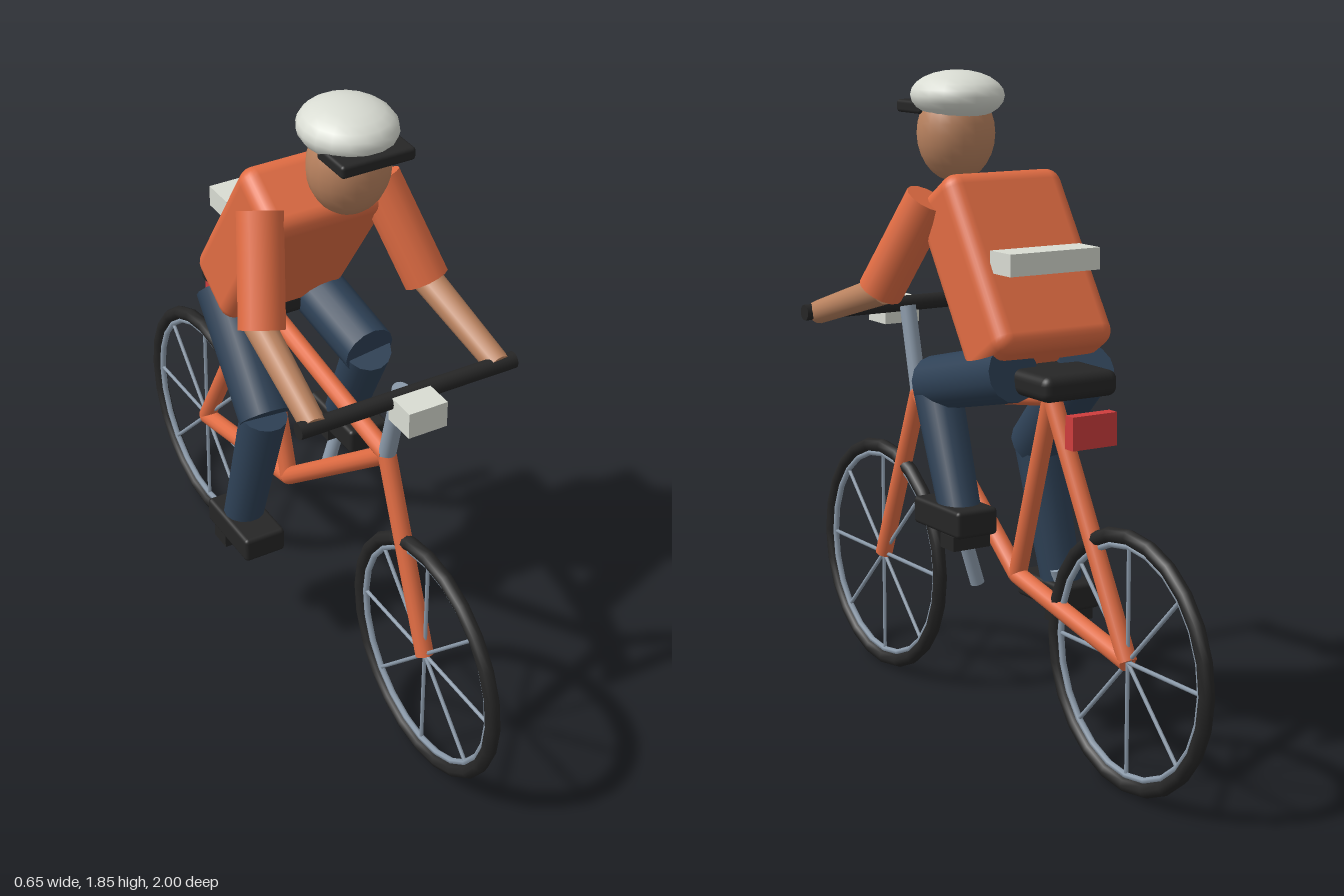
import * as THREE from 'three';
import { RoundedBoxGeometry } from 'three/addons/geometries/RoundedBoxGeometry.js';

const mat = (name, color) => {
  const m = new THREE.MeshStandardMaterial({ color });
  m.name = name;
  return m;
};

export function createModel() {
  const orange = mat('orange', 0xe06c43);
  const skin = mat('skin', 0xb9825f);
  const denim = mat('denim', 0x2e4156);
  const black = mat('black', 0x262626);
  const pale = mat('pale grey', 0xd9dcd3);
  const steel = mat('steel', 0x8c9bab);
  const red = mat('red', 0xcf3d3d);

  const model = new THREE.Group();
  model.name = 'cyclist';

  const add = (name, geometry, material, pos = [0, 0, 0], parent = model) => {
    const mesh = new THREE.Mesh(geometry, material);
    mesh.name = name;
    mesh.position.set(...pos);
    parent.add(mesh);
    return mesh;
  };

  // Round bar between two points, radius r0 at a and r1 at b
  const bar = (name, a, b, r0, r1, material, parent = model, sides = 14) => {
    const p = new THREE.Vector3(...a), q = new THREE.Vector3(...b);
    const dir = q.clone().sub(p);
    const mesh = add(name, new THREE.CylinderGeometry(r1, r0, dir.length(), sides), material,
      p.clone().add(q).multiplyScalar(0.5).toArray(), parent);
    mesh.quaternion.setFromUnitVectors(new THREE.Vector3(0, 1, 0), dir.normalize());
    return mesh;
  };

  const box = (name, size, pos, material, radius = 0) => add(name,
    radius ? new RoundedBoxGeometry(...size, 3, radius) : new THREE.BoxGeometry(...size), material, pos);

  // Wheels
  const frontHub = [0, 0.365, 0.643], rearHub = [0, 0.365, -0.643];
  for (const [name, hub] of [['frontWheel', frontHub], ['rearWheel', rearHub]]) {
    const wheel = new THREE.Group();
    wheel.name = name;
    wheel.position.set(...hub);
    wheel.rotation.y = Math.PI / 2;
    model.add(wheel);
    add('tyre', new THREE.TorusGeometry(0.336, 0.021, 8, 24), black, [0, 0, 0], wheel);
    add('rim', new THREE.TorusGeometry(0.311, 0.009, 6, 24), steel, [0, 0, 0], wheel);
    for (let i = 0; i < 4; i++) {
      const c = Math.cos(i * Math.PI / 4) * 0.312, s = Math.sin(i * Math.PI / 4) * 0.312;
      bar('spokePair', [-c, -s, 0], [c, s, 0], 0.006, 0.006, steel, wheel, 6);
    }
  }

  // Frame
  const head = [0, 0.905, 0.425], seat = [0, 1.01, -0.282], crankAxle = [0, 0.475, -0.115];
  for (const [name, a, b] of [
    ['fork', head, frontHub], ['topTube', head, seat], ['downTube', head, crankAxle],
    ['seatTube', seat, crankAxle], ['chainStay', crankAxle, rearHub], ['seatStay', seat, rearHub],
  ]) bar(name, a, b, 0.026, 0.026, orange);

  // Steering, saddle and lights
  bar('stem', head, [0, 1.155, 0.485], 0.024, 0.024, steel);
  bar('handlebar', [-0.325, 1.157, 0.52], [0.325, 1.157, 0.52], 0.023, 0.023, black);
  box('headlight', [0.115, 0.075, 0.1], [0, 1.137, 0.568], pale);
  box('saddle', [0.235, 0.07, 0.3], [0, 1.059, -0.28], black, 0.025);
  box('tailLight', [0.14, 0.09, 0.036], [0, 0.951, -0.468], red);

  // Torso leaning forward, with a reflective bar on the back
  box('torso', [0.375, 0.535, 0.22], [0, 1.326, -0.096], orange, 0.045).rotation.x = 0.58;
  box('backReflector', [0.285, 0.06, 0.1], [0, 1.375, -0.248], pale);

  // Head and helmet
  add('head', new THREE.SphereGeometry(1, 20, 14), skin, [0, 1.682, 0.208]).scale.set(0.113, 0.136, 0.106);
  add('helmet', new THREE.SphereGeometry(1, 18, 12), pale, [0, 1.788, 0.2]).scale.set(0.13, 0.07, 0.142);
  box('helmetBrim', [0.215, 0.036, 0.13], [0, 1.754, 0.293], black, 0.01);

  // Limbs: s = 1 is the left side with the raised pedal, s = -1 the right with the lowered one
  for (const s of [1, -1]) {
    const side = s > 0 ? 'left' : 'right';
    bar(side + 'UpperArm', [s * 0.178, 1.52, 0.06], [s * 0.252, 1.255, 0.2], 0.064, 0.064, orange);
    bar(side + 'Forearm', [s * 0.252, 1.262, 0.18], [s * 0.278, 1.155, 0.522], 0.042, 0.034, skin);

    const knee = s > 0 ? [0.138, 1.0, 0.1] : [-0.14, 0.815, 0.005];
    const footY = s > 0 ? 0.66 : 0.398;
    bar(side + 'Thigh', [s * 0.118, 1.085, -0.275], knee, 0.08, 0.076, denim);
    bar(side + 'Shin', [knee[0], knee[1], knee[2] - 0.01], [s * 0.17, footY + 0.01, -0.088], 0.068, 0.058, denim);
    box(side + 'Shoe', [0.128, 0.076, 0.24], [s * 0.172, footY, -0.064], black, 0.012);
    box(side + 'Pedal', [0.118, 0.04, 0.068], [s * 0.172, footY - 0.058, -0.117], black);
    bar(side + 'Crank', [s * 0.132, 0.472, -0.115], [s * 0.172, footY - 0.058, -0.115], 0.02, 0.02, steel);
  }

  return model;
}
